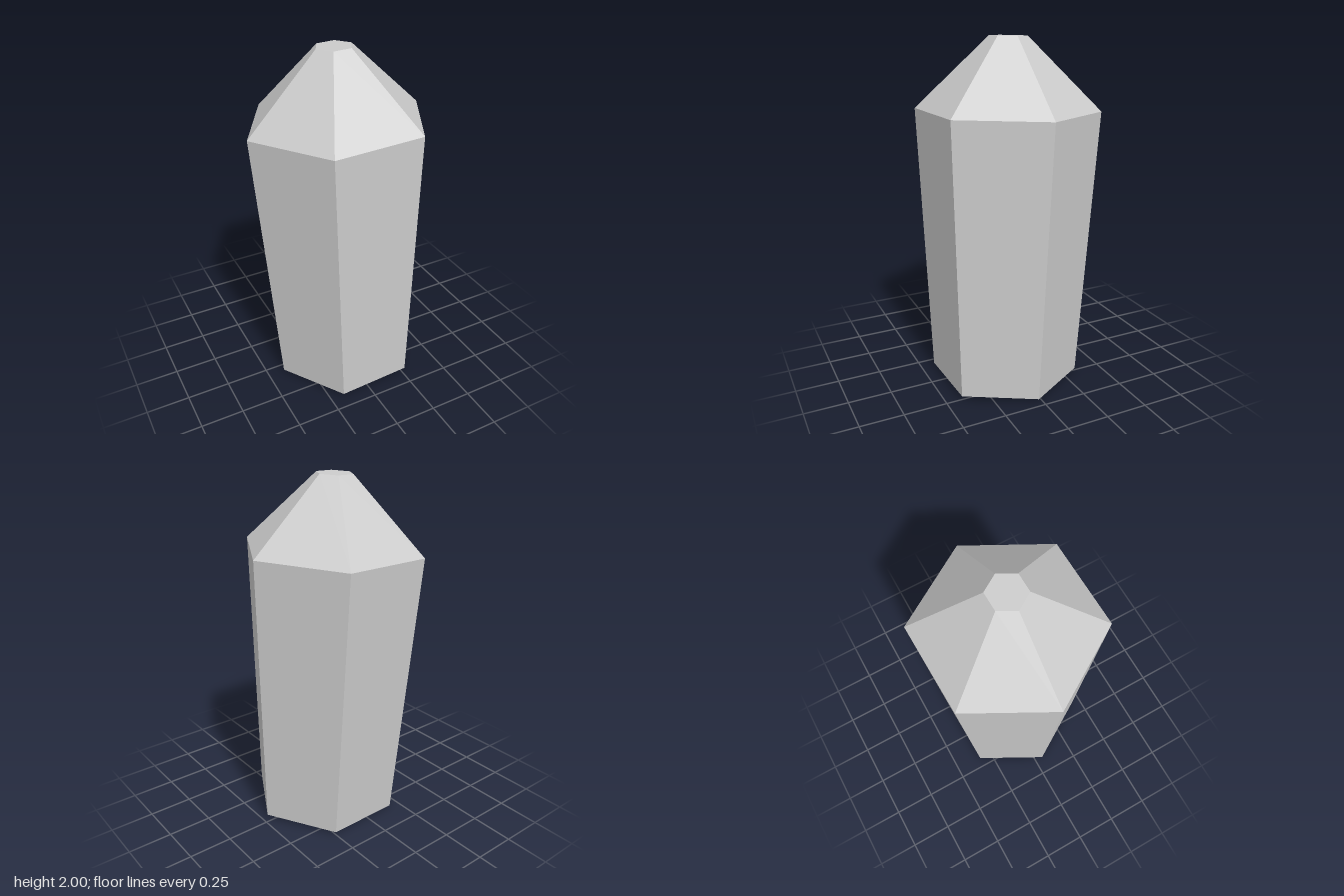
import * as THREE from 'three';

export function createModel() {
  const group = new THREE.Group();
  group.name = 'crystalShard';

  // Six-sided profile: flat base, flaring shaft, tapered tip with a small flat cap
  const profile = [[0, 0], [0.436, 0], [0.521, 1.58], [0.105, 1.982], [0, 1.982]]
    .map(([r, y]) => new THREE.Vector2(r, y));
  const yaw = THREE.MathUtils.degToRad(91.5);
  const material = new THREE.MeshStandardMaterial({ color: 0xcccccc, flatShading: true });
  const crystal = new THREE.Mesh(new THREE.LatheGeometry(profile, 6, yaw), material);
  crystal.name = 'crystal';

  // The whole shard leans slightly off vertical
  const axis = new THREE.Vector3(-0.023, 1, -0.026).normalize();
  crystal.quaternion.setFromUnitVectors(new THREE.Vector3(0, 1, 0), axis);
  crystal.position.set(0.036, 0.015, 0.04);

  group.add(crystal);
  return group;
}
